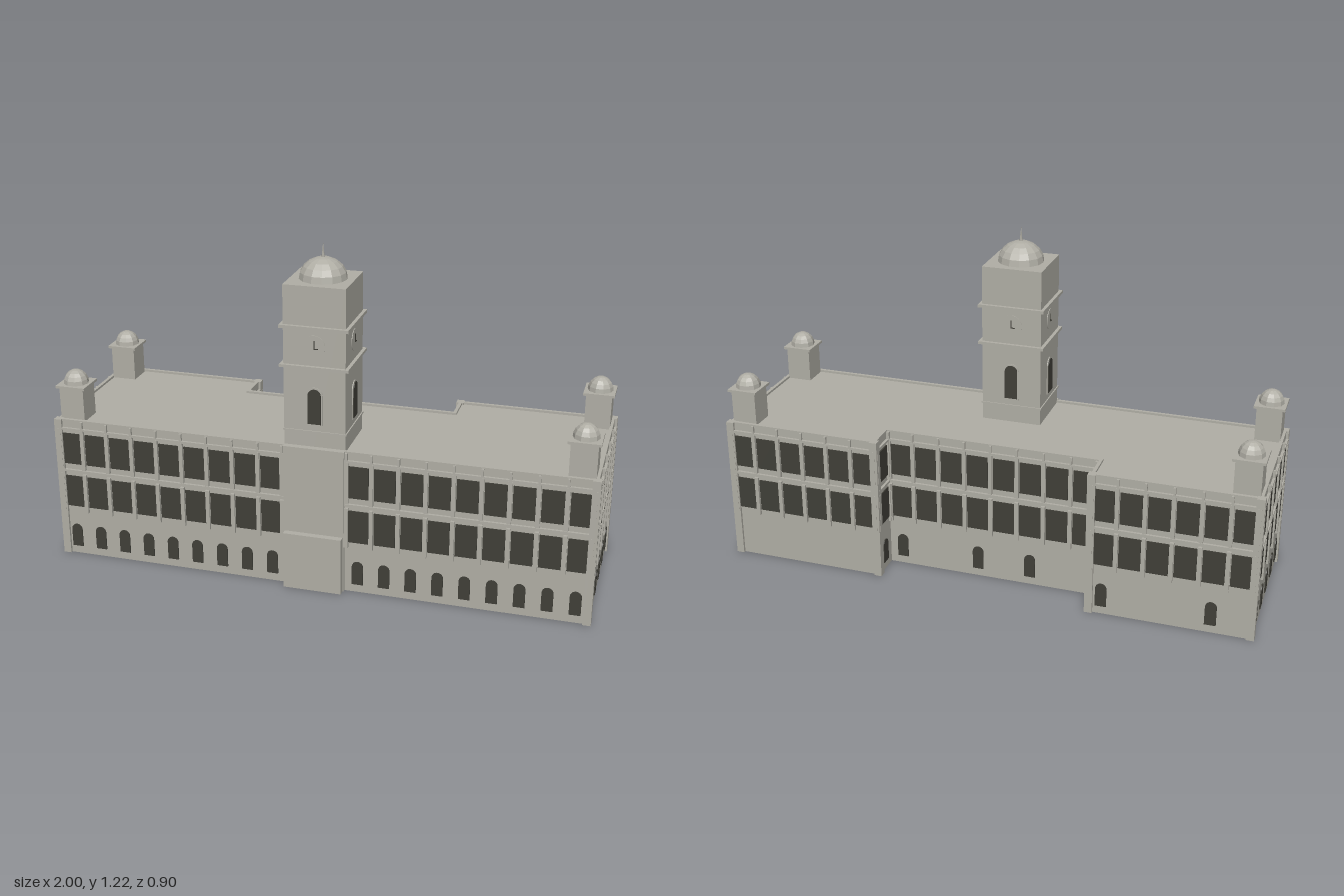
import * as THREE from 'three';

export function createModel() {
  const stone = new THREE.MeshStandardMaterial({ color: 0xb0aea5 });
  stone.name = 'stone';
  const glass = new THREE.MeshStandardMaterial({ color: 0x403f38 });
  glass.name = 'darkGlass';
  const domeStone = new THREE.MeshStandardMaterial({ color: 0xb0aea5, flatShading: true });
  domeStone.name = 'domeStone';

  const root = new THREE.Group();
  root.name = 'clockTowerBuilding';
  const building = new THREE.Group();
  building.name = 'building';
  building.rotation.y = THREE.MathUtils.degToRad(10);
  root.add(building);

  const add = (parent, name, geo, mat, x = 0, y = 0, z = 0) => {
    const m = new THREE.Mesh(geo, mat);
    m.name = name;
    m.position.set(x, y, z);
    parent.add(m);
    return m;
  };
  // box given by its centre in plan and its bottom and top heights
  const box = (parent, name, w, d, y0, y1, x, z, mat = stone) =>
    add(parent, name, new THREE.BoxGeometry(w, y1 - y0, d), mat, x, (y0 + y1) / 2, z);

  // round-headed plate standing on y = 0
  const arch = (w, h, depth = 0.004) => {
    const s = new THREE.Shape();
    s.moveTo(-w / 2, 0);
    s.lineTo(w / 2, 0);
    s.lineTo(w / 2, h - w / 2);
    s.absarc(0, h - w / 2, w / 2, 0, Math.PI, false);
    s.closePath();
    return new THREE.ExtrudeGeometry(s, { depth, bevelEnabled: false, curveSegments: 8 });
  };
  const archWindow = arch(0.04, 0.088);

  // group whose x runs along a wall and whose z points outwards
  const wallFrame = (name, x, z, angle) => {
    const g = new THREE.Group();
    g.name = name;
    g.position.set(x, 0, z);
    g.rotation.y = angle;
    building.add(g);
    return g;
  };

  // footprint, counter-clockwise from above, starting front left on screen
  const L = 0.955, D = 0.28, N0 = -0.385, N1 = 0.39, NZ = -0.17;
  const plan = [[-L, D], [L, D], [L, -D], [N1, -D], [N1, NZ], [N0, NZ], [N0, -D], [-L, -D]];
  const inset = 0.012;
  const inner = [[-L + inset, D - inset], [L - inset, D - inset], [L - inset, -D + inset],
    [N1 + inset, -D + inset], [N1 + inset, NZ + inset], [N0 - inset, NZ + inset],
    [N0 - inset, -D + inset], [-L + inset, -D + inset]];
  const toPoints = (list) => list.map(([x, z]) => new THREE.Vector2(x, -z));
  const slab = (shape, y0, y1, name) => {
    const geo = new THREE.ExtrudeGeometry(shape, { depth: y1 - y0, bevelEnabled: false });
    geo.rotateX(-Math.PI / 2);
    return add(building, name, geo, stone, 0, y0, 0);
  };

  // hollow walls, open below, and a roof set just under the parapet
  const ring = new THREE.Shape(toPoints(plan));
  ring.holes.push(new THREE.Path(toPoints(inner)));
  slab(ring, 0, 0.53, 'outerWalls');
  slab(new THREE.Shape(toPoints(inner)), 0.51, 0.522, 'roof');

  // one stretch of facade: two floors of colonnade above arched windows
  const facade = (name, a, b, bays, arches) => {
    const dx = b[0] - a[0], dz = b[1] - a[1];
    const len = Math.hypot(dx, dz), pitch = len / bays;
    const g = wallFrame(name, a[0], a[1], Math.atan2(-dz, dx));
    for (const y of [0.334, 0.496]) box(g, 'ledge', len, 0.012, y - 0.004, y + 0.004, len / 2, 0.003);
    for (let i = 0; i <= bays; i++) {
      const x = THREE.MathUtils.clamp(i * pitch, 0.007, len - 0.007);
      box(g, 'lowerColumn', 0.014, 0.02, 0.172, 0.322, x, 0);
      box(g, 'upperColumn', 0.014, 0.02, 0.34, 0.494, x, 0);
      box(g, 'parapetPost', 0.008, 0.018, 0.5, 0.526, x, 0);
      if (i === bays) break;
      const mid = (i + 0.5) * pitch;
      box(g, 'lowerWindow', pitch - 0.019, 0.004, 0.192, 0.312, mid, 0.002, glass);
      box(g, 'upperWindow', pitch - 0.019, 0.004, 0.36, 0.478, mid, 0.002, glass);
      if (arches === 'all' || arches.includes(i)) add(g, 'archedWindow', archWindow, glass, mid, 0.03, 0);
    }
  };
  facade('frontFacadeRight', [-L, D], [-0.108, D], 9, 'all');
  facade('frontFacadeLeft', [0.108, D], [L, D], 9, 'all');
  facade('leftFacade', plan[1], plan[2], 5, 'all');
  facade('backFacadeLeft', plan[2], plan[3], 6, []);
  facade('innerFacadeLeft', plan[3], plan[4], 1, 'all');
  facade('backFacadeCentre', plan[4], plan[5], 8, [0, 3, 5]);
  facade('innerFacadeRight', plan[5], plan[6], 1, 'all');
  facade('backFacadeRight', plan[6], plan[7], 6, [0, 4]);
  facade('rightFacade', plan[7], plan[0], 5, 'all');

  // piers at the outward corners
  for (const i of [0, 1, 2, 3, 6, 7]) {
    const [x, z] = plan[i];
    const sx = (i === 3 || i === 6) ? -Math.sign(x) : Math.sign(x);
    box(building, 'cornerPier', 0.028, 0.028, 0, 0.53, x - sx * 0.005, z - Math.sign(z) * 0.005);
  }

  // faceted half dome
  const dome = (parent, name, r, h, x, y, z, sides) => {
    const geo = new THREE.SphereGeometry(r, sides, 5, 0, Math.PI * 2, 0, Math.PI / 2);
    geo.scale(1, h / r, 1);
    add(parent, name, geo, domeStone, x, y, z);
  };

  // four domed roof turrets
  for (const sx of [-1, 1]) for (const sz of [-1, 1]) {
    const t = wallFrame('cornerTurret', sx * 0.9, sz * 0.22, 0);
    box(t, 'turretBody', 0.09, 0.09, 0.515, 0.645, 0, 0);
    box(t, 'turretCap', 0.109, 0.109, 0.643, 0.652, 0, 0);
    dome(t, 'turretDome', 0.045, 0.049, 0, 0.652, 0, 10);
  }

  // central tower, carried down to the ground
  const tower = wallFrame('tower', 0, 0.162, 0);
  const W = 0.216;
  box(tower, 'towerShaft', W, W, 0, 1.095, 0, 0);
  box(tower, 'towerFrontPanel', W, 0.03, 0, 0.53, 0, 0.115);
  box(tower, 'entranceBlock', 0.208, 0.06, 0, 0.21, 0, 0.123);
  box(tower, 'baseBand', W + 0.008, W + 0.008, 0.582, 0.588, 0, 0);
  box(tower, 'lowerCornice', 0.24, 0.24, 0.811, 0.821, 0, 0);
  box(tower, 'upperCornice', 0.24, 0.24, 0.948, 0.959, 0, 0);
  dome(tower, 'towerDome', 0.082, 0.072, 0, 1.095, 0, 14);
  add(tower, 'spire', new THREE.ConeGeometry(0.006, 0.055, 8), stone, 0, 1.19, 0);

  // arched window and clock on each tower side
  const face = new THREE.CylinderGeometry(0.038, 0.038, 0.004, 24).rotateX(Math.PI / 2);
  for (let i = 0; i < 4; i++) {
    const side = new THREE.Group();
    side.name = 'towerSide';
    side.rotation.y = i * Math.PI / 2;
    tower.add(side);
    add(side, 'towerWindowSurround', arch(0.058, 0.135, 0.003), stone, 0, 0.61, W / 2);
    add(side, 'towerWindow', arch(0.046, 0.125, 0.006), glass, 0, 0.614, W / 2);
    add(side, 'clockFace', face, stone, 0, 0.89, W / 2);
    box(side, 'minuteHand', 0.003, 0.003, 0.882, 0.91, 0, W / 2 + 0.003, glass);
    box(side, 'hourHand', 0.014, 0.003, 0.88, 0.883, 0.006, W / 2 + 0.003, glass);
  }
  return root;
}
